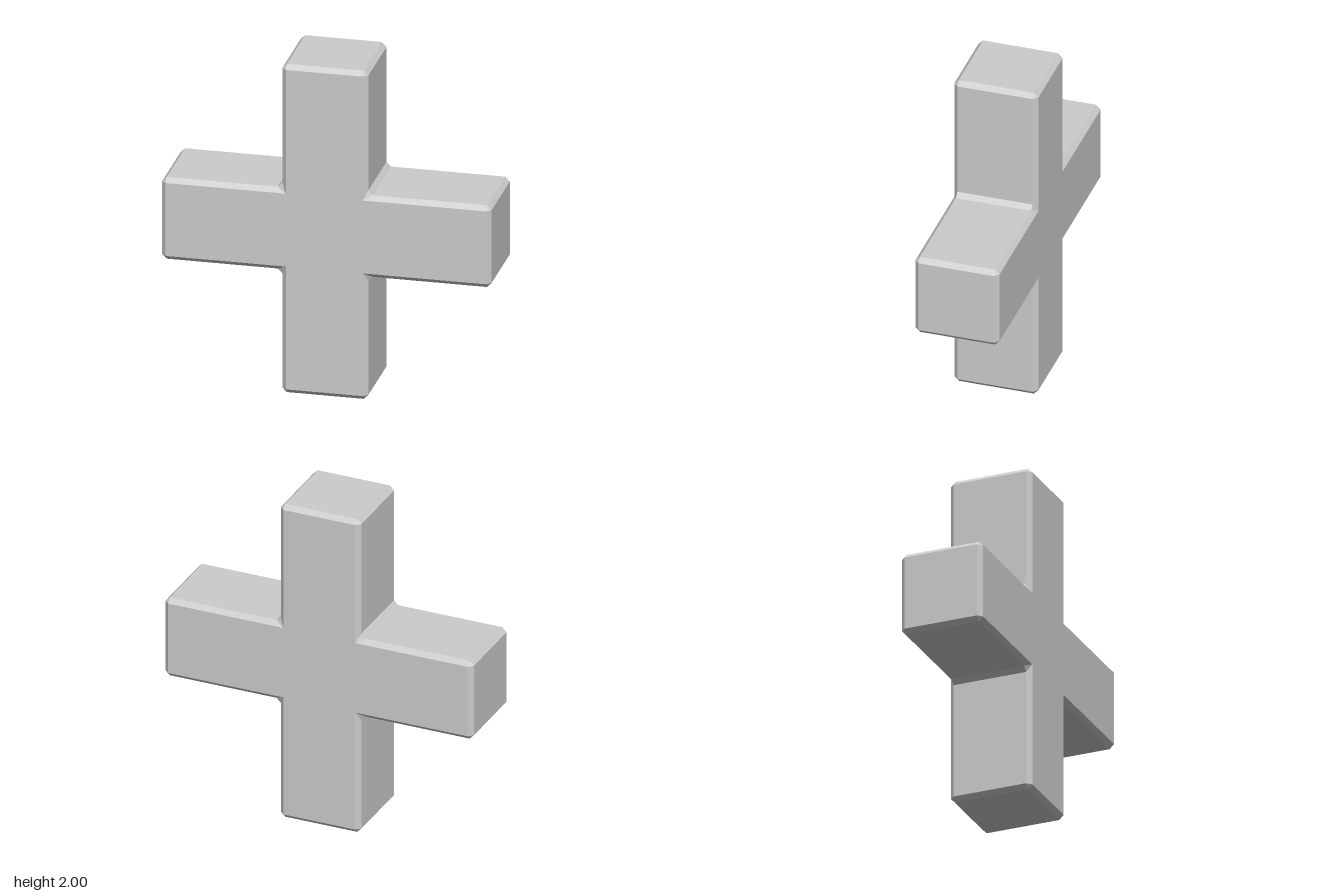
import * as THREE from 'three';

const C = 0.027;          // bevel size
const Z = 0.25;           // half depth

// Flat face outline of the cross, counter-clockwise from the foot
function crossOutline() {
  const [x0, x1, x2, x3] = [-0.931, -0.233, 0.213, 0.929];
  const [y0, y1, y2, y3] = [C, 0.775, 1.219, 2 - C];
  return [
    [x1, y0], [x2, y0], [x2, y1], [x3, y1], [x3, y2], [x2, y2],
    [x2, y3], [x1, y3], [x1, y2], [x0, y2], [x0, y1], [x1, y1],
  ].map(([x, y]) => new THREE.Vector2(x, y));
}

// Cross with bevelled edges, cut outer corners and filled inner corners
function bevelledCross() {
  const face = crossOutline();
  const n = face.length;
  const normal = (a, b) => {
    const d = b.clone().sub(a).normalize();
    return new THREE.Vector2(d.y, -d.x);
  };

  // Each face corner spreads into two points on the side walls
  const rim = face.map((p, i) => {
    const n1 = normal(face[(i + n - 1) % n], p);
    const n2 = normal(p, face[(i + 1) % n]);
    const concave = n1.cross(n2) < 0;
    const [a, b] = concave ? [1, 2] : [1, 0];
    return [
      p.clone().addScaledVector(n1, C * a).addScaledVector(n2, C * b),
      p.clone().addScaledVector(n1, C * b).addScaledVector(n2, C * a),
    ];
  });

  const positions = [];
  const tri = (...pts) => pts.forEach(([p, z]) => positions.push(p.x, p.y, z));
  const quad = (a, b, c, d) => { tri(a, b, c); tri(a, c, d); };
  const wall = (a, b) => {
    const z = Z - C;
    quad([a, z], [a, -z], [b, -z], [b, z]);
  };
  const caps = THREE.ShapeUtils.triangulateShape(face, []);

  // Front and back: flat face, edge bevels and corner facets
  for (const s of [1, -1]) {
    const add = (...pts) => tri(...(s > 0 ? pts : pts.reverse()));
    const out = (p) => [p, s * Z];
    const low = (p) => [p, s * (Z - C)];
    caps.forEach((t) => add(...t.map((i) => out(face[i]))));
    for (let i = 0; i < n; i++) {
      const j = (i + 1) % n;
      add(out(face[i]), low(rim[i][1]), low(rim[j][0]));
      add(out(face[i]), low(rim[j][0]), out(face[j]));
      add(out(face[i]), low(rim[i][0]), low(rim[i][1]));
    }
  }

  // Side walls around the rim
  const loop = rim.flat();
  loop.forEach((p, i) => wall(p, loop[(i + 1) % loop.length]));

  const geometry = new THREE.BufferGeometry();
  geometry.setAttribute('position', new THREE.Float32BufferAttribute(positions, 3));
  geometry.computeVertexNormals();
  return geometry;
}

export function createModel() {
  const group = new THREE.Group();
  group.name = 'plusBlock';
  const material = new THREE.MeshStandardMaterial({ color: 0xcccccc, flatShading: true });
  const cross = new THREE.Mesh(bevelledCross(), material);
  cross.name = 'bevelledCross';
  group.add(cross);
  return group;
}
